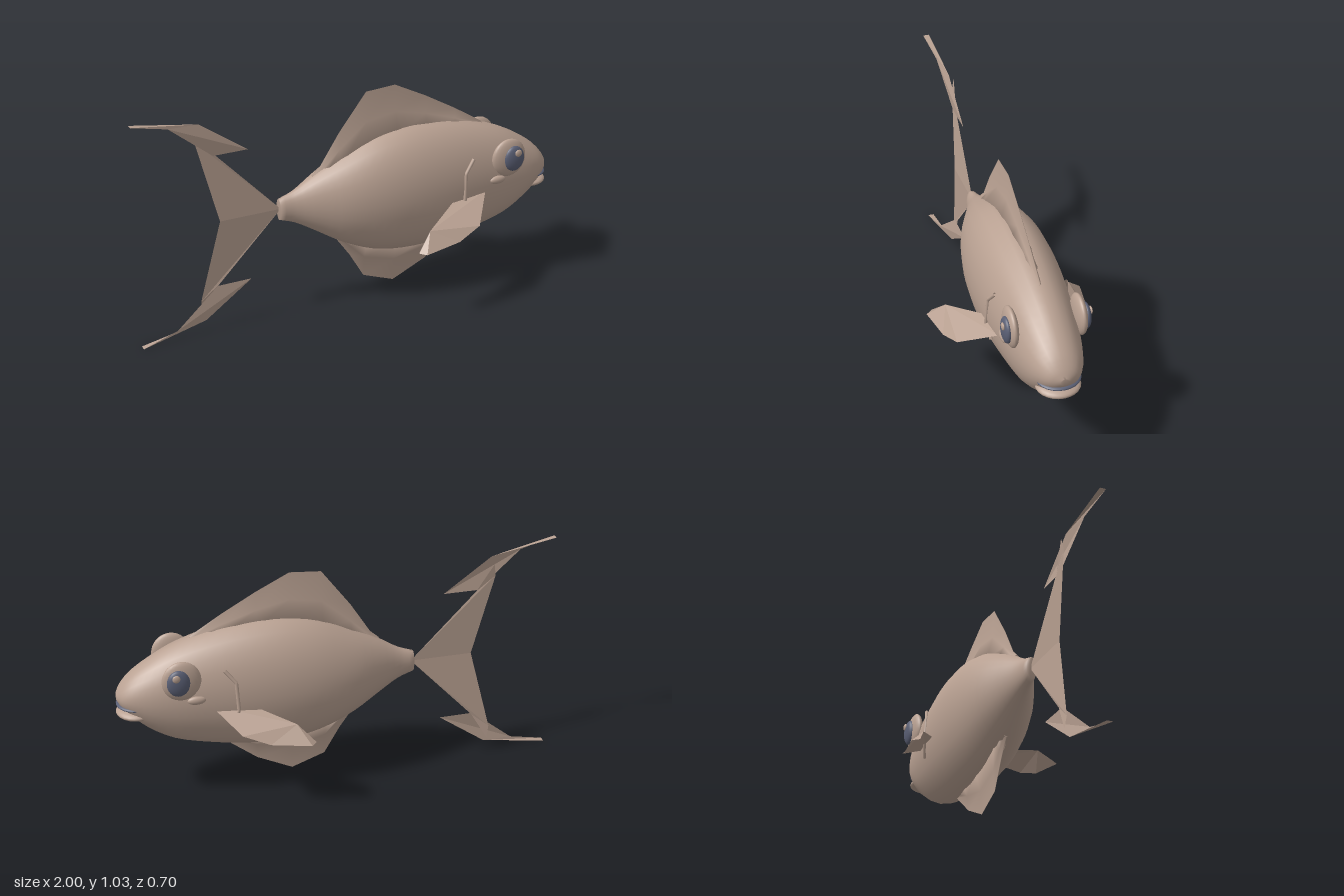
import * as THREE from 'three';

const MID = -0.016; // z of the body's plane of symmetry

const skin = new THREE.MeshStandardMaterial({ color: 0xb9a192, side: THREE.DoubleSide });
skin.name = 'skin';
const slate = new THREE.MeshStandardMaterial({ color: 0x5a5f74 });
slate.name = 'slate';

function part(parent, name, geometry, material = skin) {
  const mesh = new THREE.Mesh(geometry, material);
  mesh.name = name;
  parent.add(mesh);
  return mesh;
}

// Skin over closed rings of points, with both ends capped
function loft(rings) {
  const n = rings[0].length, pos = [], index = [];
  rings.forEach(r => r.forEach(p => pos.push(...p)));
  for (let i = 0; i < rings.length - 1; i++) {
    for (let j = 0; j < n; j++) {
      const a = i * n + j, b = i * n + (j + 1) % n;
      index.push(a, b, a + n, b, b + n, a + n);
    }
  }
  const last = (rings.length - 1) * n;
  for (let j = 1; j < n - 1; j++) {
    index.push(0, j + 1, j, last, last + j, last + j + 1);
  }
  const g = new THREE.BufferGeometry();
  g.setAttribute('position', new THREE.Float32BufferAttribute(pos, 3));
  g.setIndex(index);
  g.computeVertexNormals();
  return g;
}

// Thin folded sheet: each face is a list of point numbers
function sheet(points, faces) {
  const pos = [];
  faces.forEach(f => {
    for (let k = 1; k < f.length - 1; k++) pos.push(...points[f[0]], ...points[f[k]], ...points[f[k + 1]]);
  });
  const g = new THREE.BufferGeometry();
  g.setAttribute('position', new THREE.Float32BufferAttribute(pos, 3));
  g.computeVertexNormals();
  return g;
}

function ellipsoid(parent, name, center, radii, material) {
  const mesh = part(parent, name, new THREE.SphereGeometry(1, 24, 16), material);
  mesh.position.set(...center);
  mesh.scale.set(...radii);
  return mesh;
}

function bodyGeometry() {
  // x, top, bottom, half width
  const stations = [
    [-0.34, 0.57, 0.47, 0.026], [-0.27, 0.595, 0.445, 0.042], [-0.17, 0.655, 0.385, 0.085],
    [-0.05, 0.72, 0.31, 0.135], [0.1, 0.787, 0.245, 0.17], [0.25, 0.816, 0.22, 0.184],
    [0.42, 0.81, 0.222, 0.182], [0.6, 0.775, 0.25, 0.166], [0.75, 0.724, 0.29, 0.146],
    [0.86, 0.662, 0.355, 0.122], [0.93, 0.61, 0.42, 0.094], [0.97, 0.565, 0.465, 0.062], [0.99, 0.53, 0.5, 0.02],
  ];
  const line = k => new THREE.CatmullRomCurve3(stations.map(s => new THREE.Vector3(s[0], s[k], s[3])));
  const top = line(1), bottom = line(2), rings = [], steps = 36, sides = 24;
  for (let i = 0; i <= steps; i++) {
    const t = top.getPoint(i / steps), b = bottom.getPoint(i / steps);
    rings.push(Array.from({ length: sides }, (_, j) => {
      const a = j / sides * Math.PI * 2;
      return [t.x, (t.y + b.y) / 2 + (t.y - b.y) / 2 * Math.cos(a), MID + t.z * Math.sin(a)];
    }));
  }
  return loft(rings);
}

// Upright fin that flares into the body; stations are x, base, tip
function ridgeFin(stations) {
  return loft(stations.map(([x, base, tip]) => {
    const s = Math.sign(tip - base);
    const neck = base + (tip - base) * 0.45;
    return [[tip, 0.001], [neck, 0.008], [base, 0.035], [base, -0.035], [neck, -0.008], [tip, -0.001]]
      .map(([y, z]) => [x, y, MID + s * z]);
  }));
}

export function createModel() {
  const fish = new THREE.Group();
  fish.name = 'fish';

  part(fish, 'body', bodyGeometry());
  part(fish, 'dorsalFin', ridgeFin([
    [-0.18, 0.63, 0.655], [-0.14, 0.645, 0.69], [-0.05, 0.69, 0.83], [0.08, 0.75, 1.0], [0.22, 0.785, 1.01],
    [0.37, 0.785, 0.935], [0.52, 0.765, 0.85], [0.66, 0.735, 0.762],
  ]));
  part(fish, 'analFin', ridgeFin([
    [-0.06, 0.34, 0.31], [0, 0.31, 0.225], [0.07, 0.28, 0.105], [0.22, 0.25, 0.05],
    [0.38, 0.25, 0.125], [0.53, 0.26, 0.24],
  ]));

  // Tail: one fan and one folded tip for each half
  [1, -1].forEach(s => {
    const half = new THREE.Group();
    half.name = s > 0 ? 'upperTail' : 'lowerTail';
    fish.add(half);
    const flip = pts => pts.map(([x, y, z]) => [x, 0.52 + s * (y - 0.52), z]);
    part(half, 'tailFan', sheet(flip([
      [-0.33, 0.52, -0.018], [-0.615, 0.52, -0.012], [-0.71, 0.9, -0.03], [-0.7, 0.955, -0.037], [-0.625, 0.83, -0.025],
    ]), [[0, 1, 2, 4], [4, 2, 3]]));
    part(half, 'tailTip', sheet(flip([
      [-0.475, 0.83, -0.018], [-0.695, 0.985, -0.012], [-1, 1.037, 0],
      [-1, 1.037, 0.028], [-0.835, 0.995, 0.008], [-0.635, 0.83, -0.014],
    ]), [[0, 1, 4, 5], [1, 2, 3, 4]]));
  });

  // Mouth
  ellipsoid(fish, 'upperLip', [0.905, 0.477, MID], [0.088, 0.017, 0.095], slate);
  ellipsoid(fish, 'lowerLip', [0.905, 0.438, MID], [0.09, 0.027, 0.095], skin);

  // Paired parts, mirrored across the middle of the body
  [1, -1].forEach(s => {
    const side = new THREE.Group();
    side.name = s > 0 ? 'leftSide' : 'rightSide';
    fish.add(side);
    const z = d => MID + s * d;

    ellipsoid(side, 'eyeSocket', [0.725, 0.627, z(0.146)], [0.085, 0.09, 0.027], skin);
    ellipsoid(side, 'pupil', [0.741, 0.628, z(0.168)], [0.05, 0.06, 0.021], slate);
    ellipsoid(side, 'eyeGlint', [0.752, 0.658, z(0.186)], [0.017, 0.017, 0.007], skin);
    ellipsoid(side, 'cheekBump', [0.665, 0.533, z(0.158)], [0.04, 0.019, 0.014], skin);

    const gill = new THREE.CurvePath();
    const pts = [[0.54, 0.655, 0.154], [0.495, 0.6, 0.17], [0.488, 0.47, 0.179], [0.525, 0.41, 0.166]]
      .map(p => new THREE.Vector3(p[0], p[1], z(p[2])));
    for (let i = 0; i < 3; i++) gill.add(new THREE.LineCurve3(pts[i], pts[i + 1]));
    part(side, 'gillLine', new THREE.TubeGeometry(gill, 24, 0.008, 8));

    part(side, 'pectoralFin', sheet([
      [0.605, 0.49, 0.145], [0.45, 0.482, 0.15], [0.255, 0.42, 0.28], [0.18, 0.345, 0.322],
      [0.205, 0.345, 0.352], [0.38, 0.36, 0.325], [0.495, 0.402, 0.295],
    ].map(p => [p[0], p[1], -0.005 + s * p[2]]), [[0, 1, 2, 6], [2, 5, 6], [2, 3, 4, 5]]));
  });

  return fish;
}
